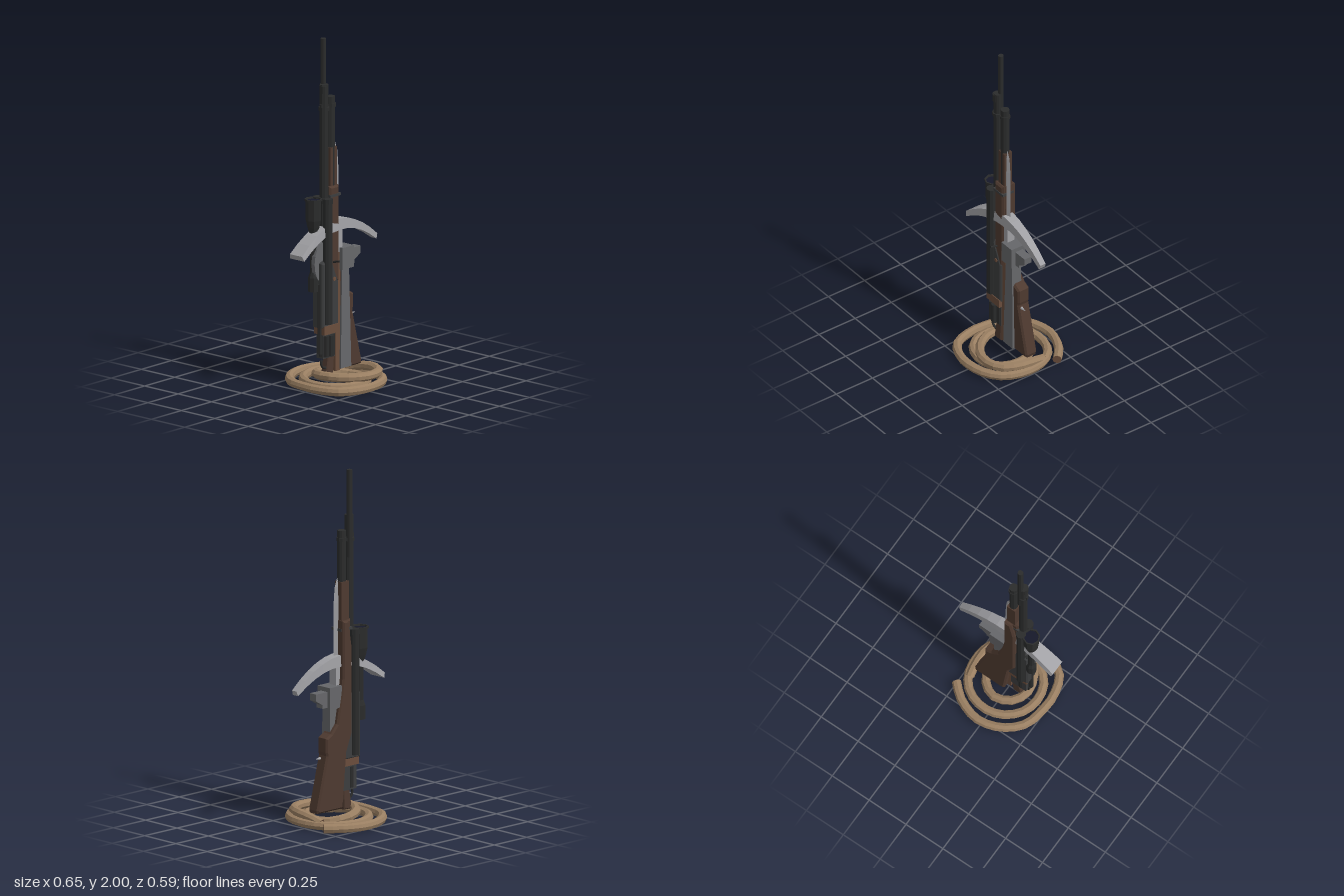
import * as THREE from 'three';

const mat = (color) => new THREE.MeshStandardMaterial({ color, flatShading: true, side: THREE.DoubleSide });
const M = {
  rope: mat(0x9a7f62), wood: mat(0x4e3a30), lightWood: mat(0x6a4d3c),
  black: mat(0x2b2c2c), dark: mat(0x3c3d3e), steel: mat(0x66676a), bright: mat(0xa0a0a4), lens: mat(0x16182a),
};

// Flat-sided solid through a row of equal-sized corner rings
function loft(rings) {
  const p = [];
  const tri = (...v) => v.forEach((c) => p.push(...c));
  const n = rings[0].length;
  for (let r = 0; r < rings.length - 1; r++) {
    const a = rings[r], b = rings[r + 1];
    for (let i = 0; i < n; i++) {
      const j = (i + 1) % n;
      tri(a[i], a[j], b[i]);
      tri(a[j], b[j], b[i]);
    }
  }
  const first = rings[0], last = rings[rings.length - 1];
  for (let i = 1; i < n - 1; i++) {
    tri(first[0], first[i + 1], first[i]);
    tri(last[0], last[i], last[i + 1]);
  }
  const g = new THREE.BufferGeometry();
  g.setAttribute('position', new THREE.Float32BufferAttribute(p, 3));
  g.computeVertexNormals();
  return g;
}

export function createModel() {
  const model = new THREE.Group();
  const add = (name, geo, material, parent = model) => {
    const m = new THREE.Mesh(geo, material);
    m.name = name;
    parent.add(m);
    return m;
  };
  const group = (name) => {
    const g = new THREE.Group();
    g.name = name;
    model.add(g);
    return g;
  };
  // Helpers take lower and upper limits
  const box = (name, x0, x1, y0, y1, z0, z1, material, parent) => add(name,
    new THREE.BoxGeometry(x1 - x0, y1 - y0, z1 - z0).translate((x0 + x1) / 2, (y0 + y1) / 2, (z0 + z1) / 2), material, parent);
  const rod = (name, x, z, y0, y1, r, material, parent, sides = 10, rTop = r) => add(name,
    new THREE.CylinderGeometry(rTop, r, y1 - y0, sides).translate(x, (y0 + y1) / 2, z), material, parent);
  const plate = (name, pts, z0, z1, material, parent, bevel = 0) => {
    const shape = new THREE.Shape(pts.map(([x, y]) => new THREE.Vector2(x, y)));
    return add(name, new THREE.ExtrudeGeometry(shape, {
      depth: z1 - z0 - 2 * bevel, bevelEnabled: bevel > 0, bevelSize: bevel, bevelOffset: -bevel,
      bevelThickness: bevel, bevelSegments: 1, curveSegments: 6,
    }).translate(0, 0, z0 + bevel), material, parent);
  };

  // Coiled rope: low outer turns, then an inner turn climbing over them
  const ropePath = [
    [0.25, -0.155], [0.17, -0.225], [0.03, -0.272], [-0.11, -0.235], [-0.21, -0.14], [-0.24, 0],
    [-0.24, 0.08], [-0.2, 0.2], [-0.12, 0.25], [-0.03, 0.268], [0.1, 0.245], [0.19, 0.18],
    [0.236, 0.06], [0.22, -0.08], [0.15, -0.165], [0.03, -0.197], [-0.08, -0.165], [-0.16, -0.08],
    [-0.18, 0.03], [-0.15, 0.12], [-0.08, 0.175], [0.02, 0.185], [0.105, 0.145], [0.145, 0.05],
    [0.125, -0.05], [0.03, -0.115, 0.045], [-0.08, -0.075, 0.06], [-0.12, 0.02, 0.07], [-0.08, 0.125, 0.07],
    [0.0, 0.19, 0.07], [0.08, 0.205, 0.07], [0.17, 0.17, 0.07], [0.215, 0.08, 0.07], [0.215, -0.03, 0.055], [0.205, -0.09, 0.035],
  ].map(([x, z, y = 0.027]) => new THREE.Vector3(x, y, z));
  const rope = group('rope');
  add('ropeCoil', new THREE.TubeGeometry(new THREE.CatmullRomCurve3(ropePath), 72, 0.026, 8), M.rope, rope);
  [[ropePath[0], ropePath[1]], [ropePath[ropePath.length - 1], ropePath[ropePath.length - 2]]].forEach(([end, next]) => {
    const cap = add('ropeEnd', new THREE.CircleGeometry(0.026, 8), M.lightWood, rope);
    cap.position.copy(end);
    cap.lookAt(end.clone().multiplyScalar(2).sub(next));
  });

  // Wooden-stocked rifle, muzzle up
  const rifle = group('stockedRifle');
  plate('rifleStock', [
    [0.0, 0.08], [0.195, 0.08], [0.2, 0.1], [0.125, 0.4], [0.13, 0.42], [0.13, 0.5], [0.09, 0.52],
    [0.045, 0.57], [0.015, 0.72], [0.0, 0.82], [0.0, 1.15], [-0.045, 1.15], [-0.07, 1.0], [-0.07, 0.5], [-0.03, 0.4],
  ], -0.055, 0.022, M.wood, rifle, 0.01);
  plate('rifleForeEnd', [[-0.08, 0.6], [-0.005, 0.6], [-0.003, 1.15], [-0.08, 1.15]], -0.035, 0.035, M.wood, rifle, 0.01);
  box('upperHandguard', -0.062, -0.006, 1.15, 1.37, -0.033, 0.018, M.wood, rifle);
  box('barrelBand', -0.085, 0.004, 1.09, 1.105, -0.038, 0.038, M.dark, rifle);
  rod('rifleBarrel', -0.033, -0.005, 1.1, 1.66, 0.025, M.black, rifle);
  rod('muzzleBand', -0.033, -0.005, 1.6, 1.62, 0.029, M.black, rifle);
  add('stockScrew', new THREE.CylinderGeometry(0.012, 0.012, 0.02, 8).rotateX(Math.PI / 2).translate(-0.055, 0.62, 0.035), M.lightWood, rifle);
  add('triggerSpike', new THREE.ConeGeometry(0.018, 0.07, 6).rotateZ(-Math.PI / 2).translate(0.13, 0.38, 0), M.bright, rifle);

  // Long black gun with its thin upper barrel
  const gun = group('longGun');
  rod('thinBarrel', -0.085, -0.014, 1.5, 2, 0.016, M.black, gun, 8);
  rod('gunBarrel', -0.094, 0, 0.6, 1.74, 0.025, M.black, gun);
  rod('muzzleCollar', -0.098, 0.004, 1.69, 1.735, 0.025, M.black, gun);
  rod('muzzleBand', -0.094, 0, 1.59, 1.61, 0.031, M.black, gun);
  box('frontSight', -0.125, -0.11, 1.6, 1.63, -0.008, 0.008, M.black, gun);
  [0.036, -0.036].forEach((z) => {
    rod('sideTube', -0.104, z, 0.37, 1.08, 0.027, M.black, gun);
    rod('sideTubeCap', -0.104, z, 1.06, 1.09, 0.029, M.black, gun);
  });
  plate('gunReceiver', [[-0.15, 0.35], [-0.015, 0.35], [-0.015, 0.6], [-0.08, 0.75], [-0.15, 0.72]], -0.04, 0.04, M.dark, gun, 0.008);
  box('woodenCollar', -0.14, -0.02, 0.31, 0.36, -0.035, 0.045, M.lightWood, gun);
  const bolt = rod('boltHandle', 0, 0, -0.03, 0.03, 0.006, M.black, gun, 6);
  bolt.position.set(-0.055, 0.72, 0.05);
  bolt.rotation.x = Math.PI / 2.4;

  // Telescopic sight beside the long gun
  const scope = group('scope');
  add('scopeBody', new THREE.LatheGeometry([
    [0, 0.56], [0.03, 0.56], [0.03, 0.64], [0.02, 0.67], [0.02, 0.88], [0.034, 0.93], [0.043, 0.97],
    [0.043, 1.08], [0.05, 1.08], [0.05, 1.092], [0.042, 1.092], [0.04, 1.08],
  ].map(([x, y]) => new THREE.Vector2(x, y)), 8).translate(-0.162, 0, -0.018), M.black, scope);
  rod('scopeLens', -0.162, -0.018, 1.07, 1.082, 0.042, M.lens, scope, 8);
  [0.7, 0.85].forEach((y) => box('scopeMount', -0.165, -0.1, y, y + 0.03, -0.03, 0.0, M.black, scope));

  // Rounded axe blade
  add('roundBlade', new THREE.CylinderGeometry(0.08, 0.08, 0.024, 16).rotateX(Math.PI / 2)
    .scale(1, 1.5, 1).translate(-0.106, 0.72, 0), M.steel);

  // Revolver mechanism at the foot of the long gun
  const revolver = group('revolver');
  box('revolverFrame', -0.13, -0.03, 0.17, 0.32, -0.025, 0.025, M.dark, revolver);
  for (let i = 0; i < 6; i++) {
    const a = (i * Math.PI) / 3 + 0.3;
    rod('chamber', -0.085 + 0.034 * Math.cos(a), 0.012 + 0.026 * Math.sin(a), 0.18, 0.3, 0.017, M.black, revolver, 8);
  }
  rod('sideRod', -0.14, 0.01, 0.2, 0.6, 0.014, M.black, revolver, 8);
  add('triggerGuard', new THREE.TorusGeometry(0.035, 0.007, 6, 12, Math.PI * 1.3).rotateZ(2.6).translate(-0.095, 0.145, 0.01), M.black, revolver);
  plate('revolverGrip', [[-0.1, 0.06], [-0.04, 0.06], [-0.03, 0.18], [-0.08, 0.18]], -0.022, 0.022, M.wood, revolver, 0.006);

  // Long pointed blade
  const blade = group('longBlade');
  const ring = (y, x0, x1, t) => [[x0, y, 0], [(x0 + x1) / 2, y, t], [x1, y, 0], [(x0 + x1) / 2, y, -t]];
  add('blade', loft([ring(0.87, -0.02, 0.026, 0.012), ring(1.25, -0.018, 0.024, 0.012),
    ring(1.34, -0.015, 0.016, 0.009), ring(1.39, -0.006, -0.002, 0.001)]), M.bright, blade);
  box('bladeNeck', -0.015, 0.03, 0.76, 0.91, -0.025, 0.025, M.bright, blade);
  box('bladeHandle', -0.025, 0.012, 0.08, 0.76, -0.02, 0.025, M.lightWood, blade);

  // Pickaxe head: broad on the right, narrow on the left
  const sections = [];
  for (let i = 0; i <= 10; i++) {
    const t = i / 10, x = -0.322 + 0.645 * t, s = Math.abs(2 * t - 1);
    const mid = 0.922 - 0.135 * s ** 1.9, h = 0.032 - 0.018 * s, w = 0.054 - 0.033 * t;
    const lean = 0.035 * (2 * t - 1);
    const corner = (sy, z) => [x + lean * h * sy * 10, mid + h * sy, z];
    sections.push([corner(1, -w * 0.85), corner(1, w * 0.85), corner(-1, w), corner(-1, -w)]);
  }
  add('pickaxeHead', loft(sections), M.bright);

  // Steel hammer with a tapered shaft
  const hammer = group('hammer');
  const rect = (y, x0, x1, z) => [[x0, y, z], [x1, y, z], [x1, y, -z], [x0, y, -z]];
  add('hammerShaft', loft([rect(0.09, 0.005, 0.092, 0.036), rect(0.66, 0.022, 0.08, 0.03)]), M.steel, hammer);
  box('hammerBlock', 0.005, 0.1, 0.66, 0.785, -0.048, 0.048, M.steel, hammer);
  plate('hammerNose', [[0.1, 0.67], [0.135, 0.67], [0.135, 0.69], [0.185, 0.72], [0.185, 0.76], [0.1, 0.76]], -0.028, 0.022, M.steel, hammer);

  return model;
}
